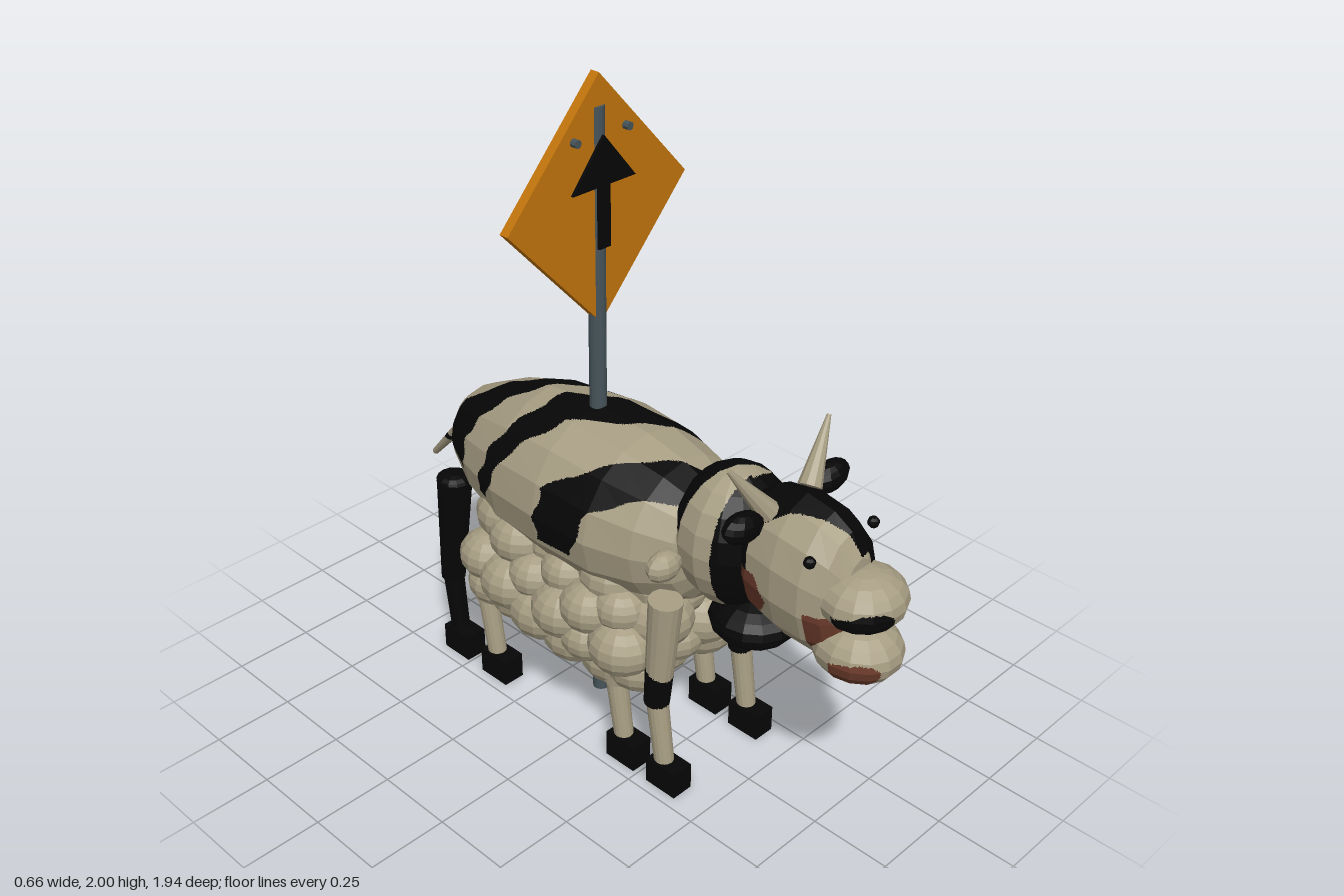
import * as THREE from 'three';

const mat = (name, color) => Object.assign(new THREE.MeshStandardMaterial({ color }), { name });
const cream = mat('cream', 0xa79d83), black = mat('black', 0x060606), brown = mat('brown', 0x6a3a2a);
const steel = mat('steel', 0x46545a), orange = mat('orange', 0xc2750c);
const hide = [cream, black, brown]; // indices returned by the paint rules

const V = (x, y, z) => new THREE.Vector3(x, y, z);

// Flat facets
function facet(geo) {
  const g = geo.index ? geo.toNonIndexed() : geo;
  g.computeVertexNormals();
  return g;
}

// Sorts facets into colour groups by a rule, halving them finely along colour borders
function paint(geo, rule) {
  const p = facet(geo).attributes.position, buckets = [[], [], []];
  const colour = (v) => rule(v.x, v.y, v.z);
  const split = (a, b, c) => {
    const ab = a.distanceTo(b), bc = b.distanceTo(c), ca = c.distanceTo(a);
    const long = Math.max(ab, bc, ca);
    if (bc === long && bc > ab) return split(b, c, a);
    if (ca === long && ca > ab) return split(c, a, b);
    const mid = a.clone().add(b).add(c).divideScalar(3), k = colour(mid);
    if (long > 0.04 || (long > 0.009 && [a, b, c].some((v) => colour(v) !== k))) {
      const h = a.clone().lerp(b, 0.5);
      split(a, h, c);
      split(h, b, c);
    } else buckets[k].push(...a.toArray(), ...b.toArray(), ...c.toArray());
  };
  for (let t = 0; t < p.count; t += 3) {
    const [a, b, c] = [0, 1, 2].map((k) => V().fromBufferAttribute(p, t + k));
    if (b.clone().sub(a).cross(c.clone().sub(a)).length() > 1e-7) split(a, b, c);
  }
  const g = new THREE.BufferGeometry();
  g.setAttribute('position', new THREE.Float32BufferAttribute(buckets.flat(), 3));
  let start = 0;
  buckets.forEach((b, k) => { g.addGroup(start, b.length / 3, k); start += b.length / 3; });
  g.computeVertexNormals();
  return g;
}

const ball = (c, r, w = 14, h = 10) =>
  new THREE.SphereGeometry(1, w, h).scale(...r).translate(...c);

// Tapered round bar from a to b
function bar(a, b, r0, r1, sides = 16) {
  const d = b.clone().sub(a);
  const g = new THREE.CylinderGeometry(r1, r0, d.length(), sides);
  g.applyQuaternion(new THREE.Quaternion().setFromUnitVectors(V(0, 1, 0), d.normalize()));
  return g.translate(...a.clone().add(b).multiplyScalar(0.5).toArray());
}

// Skin over elliptical sections [z, halfWidth, bottom, top], z ascending
function loft(sections, sides) {
  const pos = [], idx = [];
  for (const [z, w, lo, hi] of sections) for (let j = 0; j < sides; j++) {
    const a = j / sides * Math.PI * 2;
    pos.push(w * Math.sin(a), (lo + hi) / 2 + (hi - lo) / 2 * Math.cos(a), z);
  }
  for (let i = 0; i < sections.length - 1; i++) for (let j = 0; j < sides; j++) {
    const k = (j + 1) % sides, a = i * sides + j, b = a + sides, c = i * sides + k, d = c + sides;
    idx.push(a, b, c, b, d, c);
  }
  const g = new THREE.BufferGeometry();
  g.setAttribute('position', new THREE.Float32BufferAttribute(pos, 3));
  g.setIndex(idx);
  return g;
}

// Body stripes: [angle from the spine, back edge z, front edge z]
const stripes = [
  [[-1.9, -0.66, -0.52], [-1.2, -0.67, -0.51], [-0.6, -0.63, -0.45], [0, -0.49, -0.34], [0.6, -0.38, -0.2], [1.2, -0.31, -0.07], [1.9, -0.2, -0.05]],
  [[-1.9, -0.42, -0.37], [-1.1, -0.36, -0.28], [-0.4, -0.27, -0.14], [0, -0.25, 0.02], [0.5, -0.05, 0.09], [1, 0.07, 0.15], [1.9, 0.13, 0.19]],
  [[-1.9, -0.12, 0.02], [-1.2, -0.1, 0.08], [-0.6, 0.08, 0.28], [0, 0.23, 0.36], [0.6, 0.35, 0.5]],
];
function bodyRule(x, y, z) {
  const a = Math.atan2(x / 0.27, (y - 0.76) / 0.26);
  for (const s of stripes) for (let i = 0; i < s.length - 1; i++) {
    const [a0, b0, f0] = s[i], [a1, b1, f1] = s[i + 1];
    if (a < a0 || a > a1) continue;
    const t = (a - a0) / (a1 - a0), wob = 0.008 * Math.sin(a * 13);
    if (z > b0 + (b1 - b0) * t + wob && z < f0 + (f1 - f0) * t - wob) return 1;
  }
  return 0;
}
function neckRule(x, y, z) {
  if (y > (x > 0 ? 1.0 : 0.86) && Math.abs(z - 0.33 - 0.5 * x) < 0.08) return 1;
  return +(z > (x > 0 ? 0.385 + (y - 0.75) * 0.3 : 0.46));
}
function headRule(x, y, z) {
  if (z > 0.53 && z < 0.63 - Math.abs(y - 0.77) * 0.6 && y > 0.69 && y < 0.84) return 2;
  if (y < 0.8 && y > 0.65 && z > 0.755) return 2;
  if (z < 0.555) return 1;
  if (y > 0.95 && Math.abs(x - 0.015 - (z - 0.65) * 0.4) < 0.085) return 1;
  return +(x > 0.045 && z > 0.745 && y > 0.8);
}
const near = (cx, cy, rx, ry, k) => (x, y, z) =>
  z > 0.84 && ((x - cx) / rx) ** 2 + ((y - cy) / ry) ** 2 < 1 ? k : 0;

export function createModel() {
  const root = new THREE.Group();
  const add = (name, geo, material, parent = root) => {
    const m = new THREE.Mesh(Array.isArray(material) ? geo : facet(geo), material);
    m.name = name;
    parent.add(m);
    return m;
  };

  // Striped upper animal
  const body = loft([[-0.71, 0.005, 0.74, 0.76], [-0.695, 0.06, 0.68, 0.82], [-0.63, 0.135, 0.61, 0.88],
    [-0.5, 0.195, 0.53, 0.945], [-0.32, 0.25, 0.5, 1.0], [-0.12, 0.27, 0.5, 1.02], [0.08, 0.26, 0.5, 1.005],
    [0.22, 0.22, 0.53, 0.975], [0.32, 0.165, 0.58, 0.93], [0.38, 0.09, 0.66, 0.86], [0.4, 0.005, 0.75, 0.77]], 16);
  add('body', paint(body, bodyRule), hide);
  add('neck', paint(ball([0, 0.83, 0.41], [0.17, 0.215, 0.165]), neckRule), hide);
  const head = loft([[0.46, 0.005, 0.84, 0.86], [0.48, 0.08, 0.7, 0.99], [0.55, 0.125, 0.65, 1.05],
    [0.65, 0.142, 0.625, 1.065], [0.74, 0.138, 0.62, 1.05], [0.8, 0.115, 0.63, 1.015], [0.835, 0.07, 0.67, 0.95],
    [0.845, 0.005, 0.79, 0.81]], 14);
  add('head', paint(head, headRule), hide);
  add('upperSnout', paint(ball([0, 0.84, 0.85], [0.125, 0.083, 0.118]), near(-0.07, 0.82, 0.055, 0.04, 1)), hide);
  add('lowerSnout', paint(ball([0, 0.68, 0.845], [0.118, 0.086, 0.128]), near(-0.085, 0.66, 0.04, 0.04, 2)), hide);
  for (const s of [-1, 1]) {
    add('eye', ball([s * 0.13, 0.97, 0.77], [0.017, 0.017, 0.017], 8, 6), black);
    add('horn', bar(V(s * 0.085, 1.02, 0.59), V(s * 0.2, 1.175, 0.55), 0.034, 0.006, 10), cream);
    add('ear', ball([0, 0, 0], [0.07, 0.043, 0.04], 12, 8).rotateZ(s * 0.12).translate(s * 0.175, 1.01, 0.585), black);
  }
  add('tail', paint(bar(V(0, 0.75, -0.69), V(0.06, 0.475, -0.965), 0.023, 0.011),
    (x, y) => +(Math.abs(y - 0.6) < 0.012)), hide);

  // Woolly lower animal: rings of tufts [z, ring scale, count]
  const wool = new THREE.Group();
  wool.name = 'wool';
  root.add(wool);
  add('woolCore', ball([0, 0.46, -0.11], [0.24, 0.2, 0.35]), cream, wool);
  [[0.19, 0.5, 6], [0.165, 0.92, 9], [0.06, 1, 10], [-0.05, 1, 10], [-0.16, 1, 10], [-0.27, 1.02, 10],
    [-0.37, 1, 9], [-0.4, 0.55, 6]].forEach(([z, k, n], i) => {
    for (let j = 0; j < n; j++) {
      const a = (j + (i % 2) / 2) / n * Math.PI * 2, w = Math.sin(i * 7.3 + j * 4.1);
      const r = 0.09 + 0.013 * w;
      const up = z < -0.2 && Math.cos(a) > 0.2 ? 0.025 : 0;
      add('woolTuft', ball([0.218 * k * Math.sin(a), 0.455 + up + 0.172 * k * Math.cos(a), z + 0.02 * w],
        [r * 1.05, r * 0.92, r * 1.1], 14, 10), cream, wool);
    }
  });
  add('lowerHead', ball([0, 0.59, 0.49], [0.125, 0.073, 0.13]), black);
  for (const s of [-1, 1]) add('lowerEar', ball([s * 0.195, 0.775, 0.33], [0.06, 0.045, 0.04], 10, 8), cream);
  add('lowerTail', bar(V(0, 0.53, -0.47), V(0.06, 0.24, -0.65), 0.022, 0.011), cream);

  // Legs: upper part, lower part and hoof; the rule paints the dark patches
  const leg = (name, x, top, knee, hoofZ, r, rule) => {
    const g = new THREE.Group();
    g.name = name;
    root.add(g);
    add('upperLeg', paint(bar(V(x, ...top), V(x, ...knee), r, 0.038), rule), hide, g);
    add('lowerLeg', paint(bar(V(x, knee[0] + 0.02, knee[1]), V(x, 0.06, hoofZ - 0.015), 0.033, 0.029), rule), hide, g);
    add('hoof', new THREE.BoxGeometry(0.072, 0.085, 0.112).translate(x, 0.0425, hoofZ), black, g);
  };
  const plain = () => 0;
  for (const s of [-1, 1]) {
    leg('frontLeg', s * 0.18, [0.65, 0.325], [0.28, 0.295], 0.345, 0.05,
      s < 0 ? (x, y, z) => +(y > 0.28 && y < 0.4 + (0.3 - z) * 0.5)
        : (x, y, z) => +(y > 0.28 && (y < 0.53 - (z - 0.32) || x < 0.18)));
    leg('backLeg', s * 0.18, [0.65, -0.57], [0.27, -0.605], -0.565, 0.055,
      s < 0 ? () => 1 : (x, y) => +(y > 0.18 && y < 0.53));
    add('hip', ball([s * 0.18, 0.645, -0.572], [0.055, 0.025, 0.055], 12, 8), s < 0 ? black : cream);
    leg('lowerFrontLeg', s * 0.18, [0.5, 0.17], [0.27, 0.13], 0.18, 0.045, plain);
    leg('lowerBackLeg', s * 0.18, [0.5, -0.41], [0.27, -0.44], -0.385, 0.045, plain);
  }

  // Road sign on its pole
  const Z = -0.12;
  const plate = (pts, depth, z) => new THREE.ExtrudeGeometry(
    new THREE.Shape(pts.map(([x, y]) => new THREE.Vector2(x, y))), { depth, bevelEnabled: false }).translate(0, 0, z);
  add('pole', new THREE.CylinderGeometry(0.025, 0.025, 1.91, 16).translate(0, 0.955, Z), steel);
  add('signPlate', plate([[0, 1.285], [0.33, 1.642], [0, 2], [-0.33, 1.642]], 0.03, Z - 0.015), orange);
  add('arrow', plate([[-0.021, 1.515], [0.021, 1.515], [0.021, 1.695], [0.116, 1.695], [0, 1.835],
    [-0.116, 1.695], [-0.021, 1.695]], 0.009, Z + 0.025), black);
  for (const s of [-1, 1]) {
    add('bolt', new THREE.CylinderGeometry(0.012, 0.012, 0.025, 8).rotateX(Math.PI / 2).translate(s * 0.095, 1.835, Z + 0.022), steel);
  }
  return root;
}
